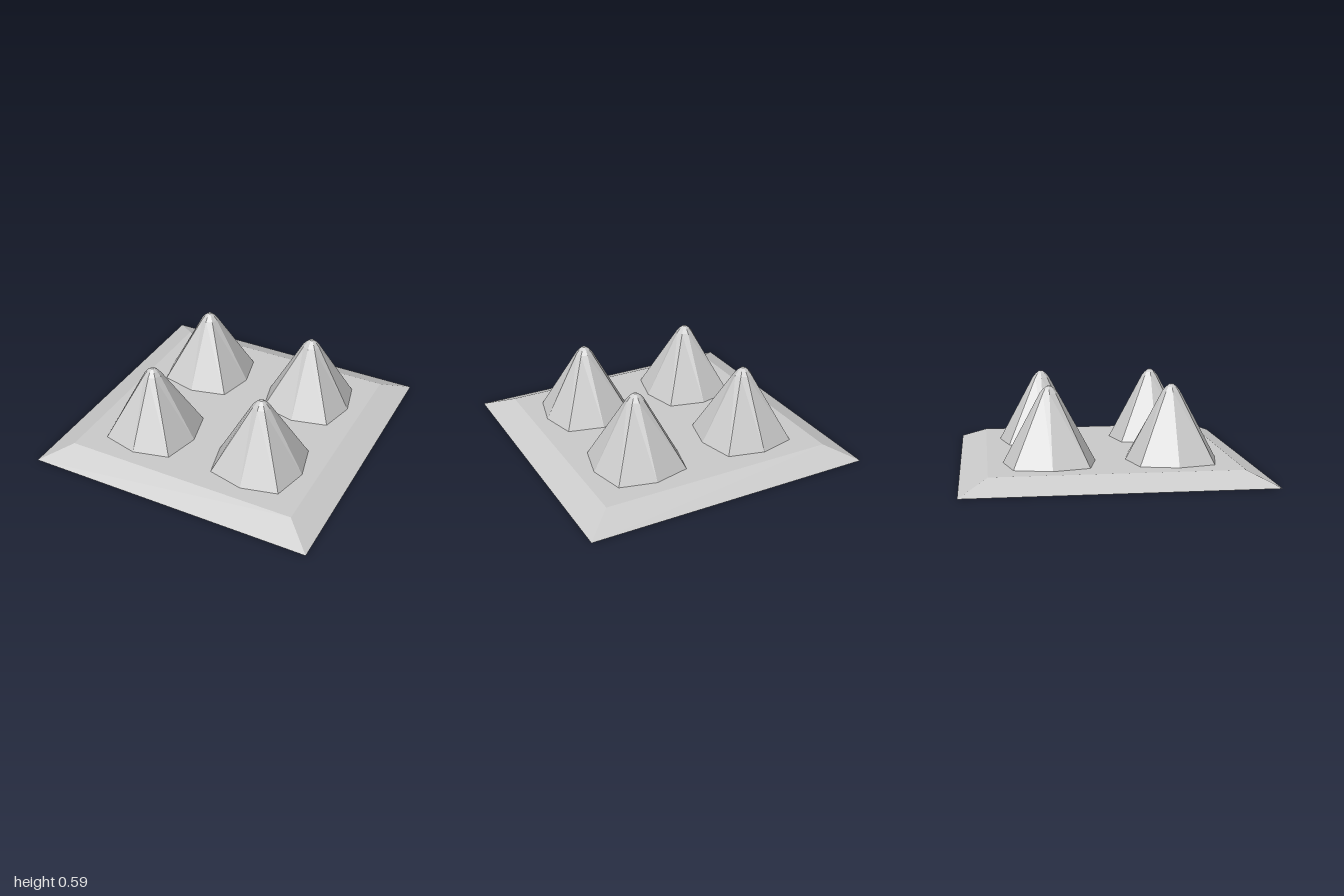
import * as THREE from 'three';

const material = new THREE.MeshStandardMaterial({ color: 0xcccccc, flatShading: true });
const BASE_TOP = 0.083;

// Square plate with sloping edges
function makeBase() {
  const geometry = new THREE.CylinderGeometry(
    0.815 * Math.SQRT2, Math.SQRT2, BASE_TOP, 4, 1, false, Math.PI / 4);
  const base = new THREE.Mesh(geometry, material);
  base.name = 'basePlate';
  base.position.y = BASE_TOP / 2;
  return base;
}

// Eight-sided spike with a rounded tip; its foot bulges towards the diagonals
function makeSpikeGeometry() {
  const profile = [[0.306, BASE_TOP], [0.06, 0.54], [0.038, 0.567], [0.013, 0.586], [0, 0.587]]
    .map(([r, y]) => new THREE.Vector2(r, y));
  const geometry = new THREE.LatheGeometry(profile, 8);
  const pos = geometry.attributes.position;
  for (let i = 0; i < pos.count; i++) {
    const x = pos.getX(i), z = pos.getZ(i);
    const isDiagonal = Math.min(Math.abs(x), Math.abs(z)) > 0.1;
    if (isDiagonal) pos.setXYZ(i, Math.sign(x) * 0.246, pos.getY(i), Math.sign(z) * 0.246);
  }
  geometry.computeVertexNormals();
  return geometry;
}

export function createModel() {
  const model = new THREE.Group();
  model.name = 'spikedPlate';
  model.add(makeBase());

  const spikeGeometry = makeSpikeGeometry();
  for (const [sideX, x] of [['Right', -0.407], ['Left', 0.407]]) {
    for (const [sideZ, z] of [['back', -0.407], ['front', 0.407]]) {
      const spike = new THREE.Mesh(spikeGeometry, material);
      spike.name = `${sideZ}${sideX}Spike`;
      spike.position.set(x, 0, z);
      model.add(spike);
    }
  }
  return model;
}
